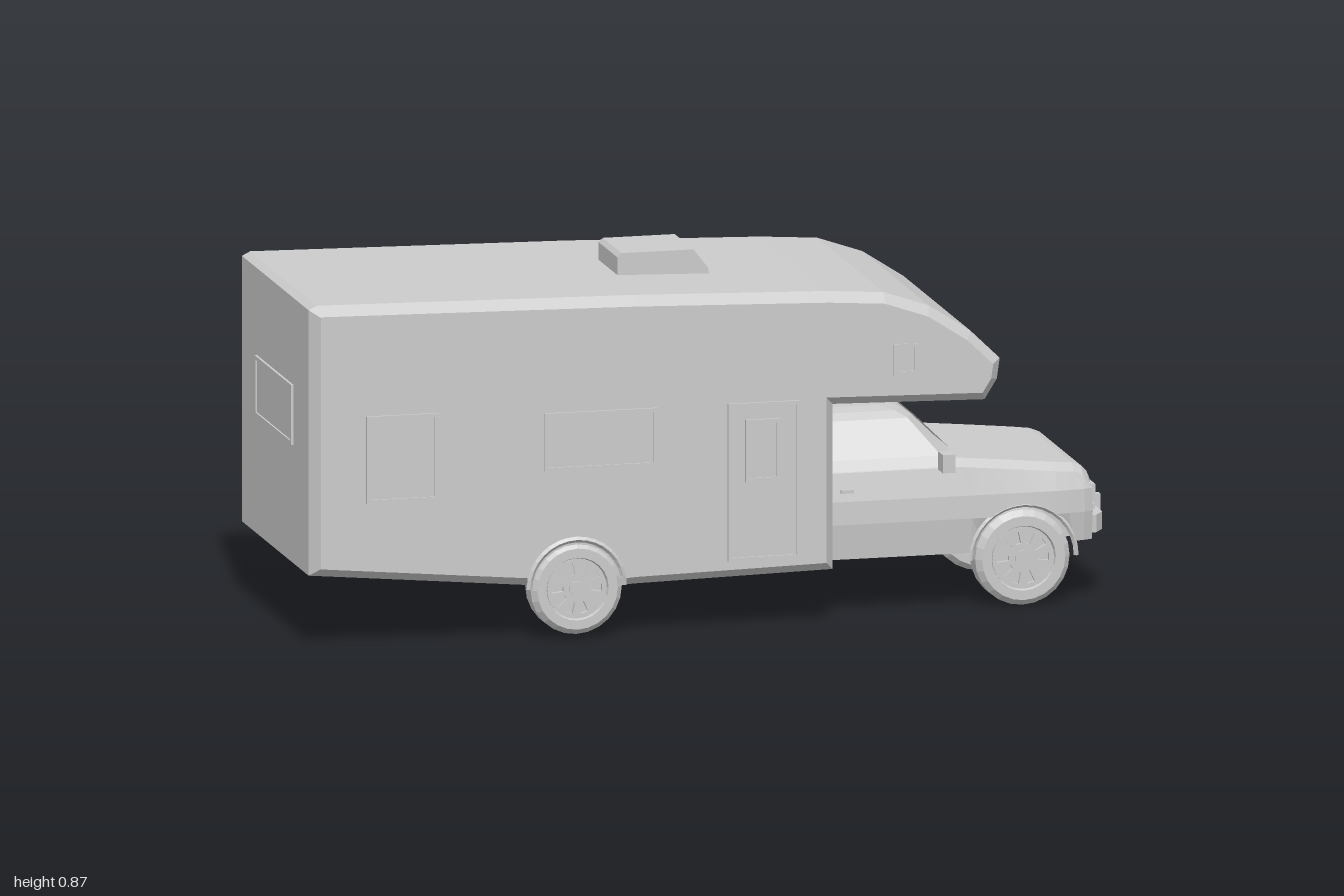
import * as THREE from 'three';

const mat = new THREE.MeshStandardMaterial({ color: 0xcccccc, flatShading: true, side: THREE.DoubleSide });

function add(parent, name, geo, x = 0, y = 0, z = 0) {
  const m = new THREE.Mesh(geo, mat);
  m.name = name;
  m.position.set(x, y, z);
  parent.add(m);
  return m;
}

// box given by its min and max on each axis
function box(parent, name, x0, x1, y0, y1, z0, z1) {
  return add(parent, name, new THREE.BoxGeometry(x1 - x0, y1 - y0, z1 - z0),
    (x0 + x1) / 2, (y0 + y1) / 2, (z0 + z1) / 2);
}

const shapeOf = pts => new THREE.Shape(pts.map(p => new THREE.Vector2(p[0], p[1])));

// skin over rings with equal point counts
function loft(rings, { closed = false, capEnd = false } = {}) {
  const n = rings[0].length, idx = [];
  const pos = rings.flat(2);
  for (let i = 0; i < rings.length - 1; i++)
    for (let j = 0; j < (closed ? n : n - 1); j++) {
      const a = i * n + j, b = i * n + (j + 1) % n;
      idx.push(a, b, a + n, b, b + n, a + n);
    }
  if (capEnd) {
    const s = (rings.length - 1) * n;
    for (let j = 1; j < n - 1; j++) idx.push(s, s + j, s + j + 1);
  }
  const g = new THREE.BufferGeometry();
  g.setAttribute('position', new THREE.Float32BufferAttribute(pos, 3));
  g.setIndex(idx);
  g.computeVertexNormals();
  return g;
}

// rectangular frame with a pane, lying in xy and standing out along z
function framed(parent, name, w, h, x, y, z) {
  const g = new THREE.Group();
  g.name = name;
  g.position.set(x, y, z);
  const rect = (a, b) => [[-a, -b], [a, -b], [a, b], [-a, b]];
  const s = shapeOf(rect(w / 2, h / 2));
  s.holes.push(shapeOf(rect(w / 2 - 0.009, h / 2 - 0.009)));
  add(g, name + 'Frame', new THREE.ExtrudeGeometry(s, { depth: 0.006, bevelEnabled: false }));
  box(g, name + 'Pane', -w / 2 + 0.005, w / 2 - 0.005, -h / 2 + 0.005, h / 2 - 0.005, -0.004, 0.002);
  parent.add(g);
  return g;
}

function wheel(parent, name, x, y, z, r, width) {
  const g = new THREE.Group();
  g.name = name;
  g.position.set(x, y, z);
  const h = width / 2;
  const tyre = new THREE.LatheGeometry([[0, -h * 0.6], [r * 0.63, -h * 0.6], [r * 0.68, -h], [r * 0.88, -h],
    [r, -h * 0.65], [r, h * 0.65], [r * 0.88, h], [r * 0.68, h], [r * 0.63, h * 0.6], [0, h * 0.6]]
    .map(p => new THREE.Vector2(p[0], p[1])), 24);
  add(g, 'tyre', tyre.rotateX(Math.PI / 2));
  // rim plate with ten radial slots on each face
  const rim = new THREE.Shape().absarc(0, 0, r * 0.65, 0, Math.PI * 2);
  for (let i = 0; i < 10; i++) {
    const a = i * Math.PI / 5, c = Math.cos(a), s = Math.sin(a);
    rim.holes.push(shapeOf([[0.3, -0.05], [0.55, -0.08], [0.55, 0.08], [0.3, 0.05]]
      .map(([u, v]) => [r * (u * c - v * s), r * (u * s + v * c)])));
  }
  for (const side of [-1, 1]) {
    const p = add(g, 'rim', new THREE.ExtrudeGeometry(rim, { depth: h * 0.25, bevelEnabled: false, curveSegments: 20 }));
    p.position.z = side > 0 ? h * 0.6 : -h * 0.85;
    add(g, 'hubCap', new THREE.CylinderGeometry(r * 0.17, r * 0.17, 0.008, 10).rotateX(Math.PI / 2), 0, 0, side * h * 0.88);
  }
  parent.add(g);
}

// camper shell: bevelled side profile with the overhang above the cab
function buildBody(root) {
  const profile = [[-0.99, 0.182], [-0.47, 0.133], [-0.35, 0.11], [-0.2, 0.122], [0.285, 0.132], [0.285, 0.53],
    [0.655, 0.522], [0.685, 0.57], [0.692, 0.62], [0.62, 0.69], [0.52, 0.755], [0.41, 0.793], [0.27, 0.803],
    [-0.2, 0.818], [-0.97, 0.832], [-0.99, 0.822]];
  add(root, 'camperBody', new THREE.ExtrudeGeometry(shapeOf(profile), {
    depth: 0.64, bevelThickness: 0.03, bevelSize: 0.022, bevelOffset: -0.022, bevelSegments: 1 }), 0, 0, -0.32);

  for (const s of [1, -1]) {
    const side = new THREE.Group();
    side.name = s > 0 ? 'leftFittings' : 'rightFittings';
    if (s < 0) side.rotation.y = Math.PI;
    root.add(side);
    framed(side, 'rearWindow', 0.175, 0.21, -0.77 * s, 0.46, 0.35);
    framed(side, 'middleWindow', 0.275, 0.14, -0.287 * s, 0.48, 0.35);
    framed(side, 'door', 0.175, 0.38, 0.11 * s, 0.36, 0.35);
    framed(side, 'doorWindow', 0.085, 0.15, 0.107 * s, 0.435, 0.352);
    framed(side, 'overheadHatch', 0.06, 0.075, 0.455 * s, 0.635, 0.347);
    add(side, 'rearArch', new THREE.TorusGeometry(0.115, 0.007, 4, 16, Math.PI), -0.345 * s, 0.127, 0.35);
  }
  framed(root, 'backWindow', 0.35, 0.145, -0.99, 0.54, 0).rotation.y = -Math.PI / 2;

  // roof vent with a sloped front
  add(root, 'roofVent', new THREE.ExtrudeGeometry(
    shapeOf([[-0.18, 0.8], [0.045, 0.8], [0.04, 0.825], [0.005, 0.87], [-0.17, 0.87], [-0.18, 0.86]]),
    { depth: 0.18, bevelEnabled: false }), 0, 0, -0.09);
}

function buildCab(root) {
  const cab = new THREE.Group();
  cab.name = 'cab';
  root.add(cab);

  // lower cab and hood: sections along x, bottom edge following the wheel arch
  const lerpAt = (table, x) => {
    let i = 0;
    while (i < table.length - 2 && x > table[i + 1][0]) i++;
    const [a, b] = [table[i], table[i + 1]];
    return a[1] + (b[1] - a[1]) * (x - a[0]) / (b[0] - a[0]);
  };
  const top = [[0.27, 0.36], [0.62, 0.36], [0.75, 0.348], [0.9, 0.333], [0.93, 0.32], [0.942, 0.295]];
  const wide = [[0.27, 0.247], [0.86, 0.247], [0.92, 0.238], [0.942, 0.228]];
  const section = x => {
    const t = lerpAt(top, x), w = lerpAt(wide, x), d = x - 0.77;
    const b = Math.abs(d) < 0.127 ? 0.118 + Math.sqrt(0.0164 - d * d) : 0.15 - 0.015 * (x < 0.77);
    const half = [[x, b, w - 0.01], [x, Math.max(b, 0.22), w], [x, 0.275, w - 0.002],
      [x, t - 0.018, w - 0.015], [x, t, w - 0.04]];
    return [...half, ...half.map(p => [p[0], p[1], -p[2]]).reverse()];
  };
  const xs = [0.27, 0.45, 0.62, 0.643, 0.66, 0.69, 0.73, 0.77, 0.81, 0.85, 0.88, 0.897, 0.92, 0.935, 0.942];
  add(cab, 'lowerCab', loft(xs.map(section), { capEnd: true }));
  box(cab, 'engineBay', 0.6, 0.935, 0.145, 0.3, -0.155, 0.155);

  // cabin: rings rising from the belt line to the roof
  const ring = (y, xSide, xFront, z) => [[0.27, y, z], [xSide, y, z], [xFront, y, z * 0.75],
    [xFront, y, -z * 0.75], [xSide, y, -z], [0.27, y, -z]];
  add(cab, 'cabin', loft([ring(0.345, 0.6, 0.635, 0.234), ring(0.37, 0.575, 0.61, 0.222),
    ring(0.455, 0.505, 0.525, 0.172), ring(0.47, 0.48, 0.5, 0.15), ring(0.477, 0.45, 0.47, 0.115)],
  { closed: true, capEnd: true }));
  add(cab, 'windscreen', loft([[[0.61, 0.375, 0.155], [0.61, 0.375, -0.155]],
    [[0.533, 0.452, -0.125], [0.533, 0.452, 0.125]].reverse()]));

  for (const s of [1, -1]) {
    add(cab, 'sideWindow', loft([[[0.3, 0.375, s * 0.224], [0.555, 0.375, s * 0.224]],
      [[0.32, 0.45, s * 0.18], [0.495, 0.45, s * 0.18]]]));
    box(cab, 'mirrorArm', 0.565, 0.58, 0.342, 0.352, s > 0 ? 0.21 : -0.26, s > 0 ? 0.26 : -0.21);
    add(cab, 'mirror', new THREE.BoxGeometry(0.03, 0.044, 0.046), 0.575, 0.365, s * 0.273);
    add(cab, 'doorHandle', new THREE.BoxGeometry(0.03, 0.008, 0.008), 0.34, 0.3, s * 0.245);
    add(cab, 'frontArch', new THREE.TorusGeometry(0.128, 0.006, 4, 16, Math.PI), 0.77, 0.118, s * 0.242);
    add(cab, 'headlight', new THREE.BoxGeometry(0.012, 0.042, 0.062), 0.943, 0.262, s * 0.194);
    add(cab, 'indicator', new THREE.BoxGeometry(0.01, 0.012, 0.062), 0.943, 0.23, s * 0.194);
    box(cab, 'bumperMount', 0.93, 0.96, 0.17, 0.2, s * 0.13 - 0.02, s * 0.13 + 0.02);
    // upright guards on the bumper
    box(cab, 'bumperGuard', 0.97, 0.995, 0.16, 0.23, s * 0.083 - 0.008, s * 0.083 + 0.008);
  }

  // grille bars
  for (let i = 0; i < 4; i++) box(cab, 'grilleBar', 0.938, 0.951, 0.226 + i * 0.017, 0.231 + i * 0.017, -0.16, 0.16);
  for (let i = -2; i <= 2; i++) box(cab, 'grillePost', 0.938, 0.949, 0.226, 0.282, i * 0.078 - 0.003, i * 0.078 + 0.003);

  // bumper: plan outline with swept ends, stood up to its height
  const plan = shapeOf([[0.925, -0.215], [0.955, -0.21], [0.978, -0.175], [0.982, 0], [0.978, 0.175],
    [0.955, 0.21], [0.925, 0.215], [0.95, 0.17], [0.95, -0.17]]);
  add(cab, 'frontBumper', new THREE.ExtrudeGeometry(plan, { depth: 0.042, bevelEnabled: false })
    .rotateX(-Math.PI / 2), 0, 0.163, 0);
}

export function createModel() {
  const root = new THREE.Group();
  root.name = 'camperVan';
  buildBody(root);
  buildCab(root);
  for (const s of [1, -1]) {
    wheel(root, 'frontWheel', 0.77, 0.117, s * 0.204, 0.115, 0.08);
    wheel(root, 'rearWheel', -0.345, 0.124, s * 0.319, 0.111, 0.08);
  }
  return root;
}
